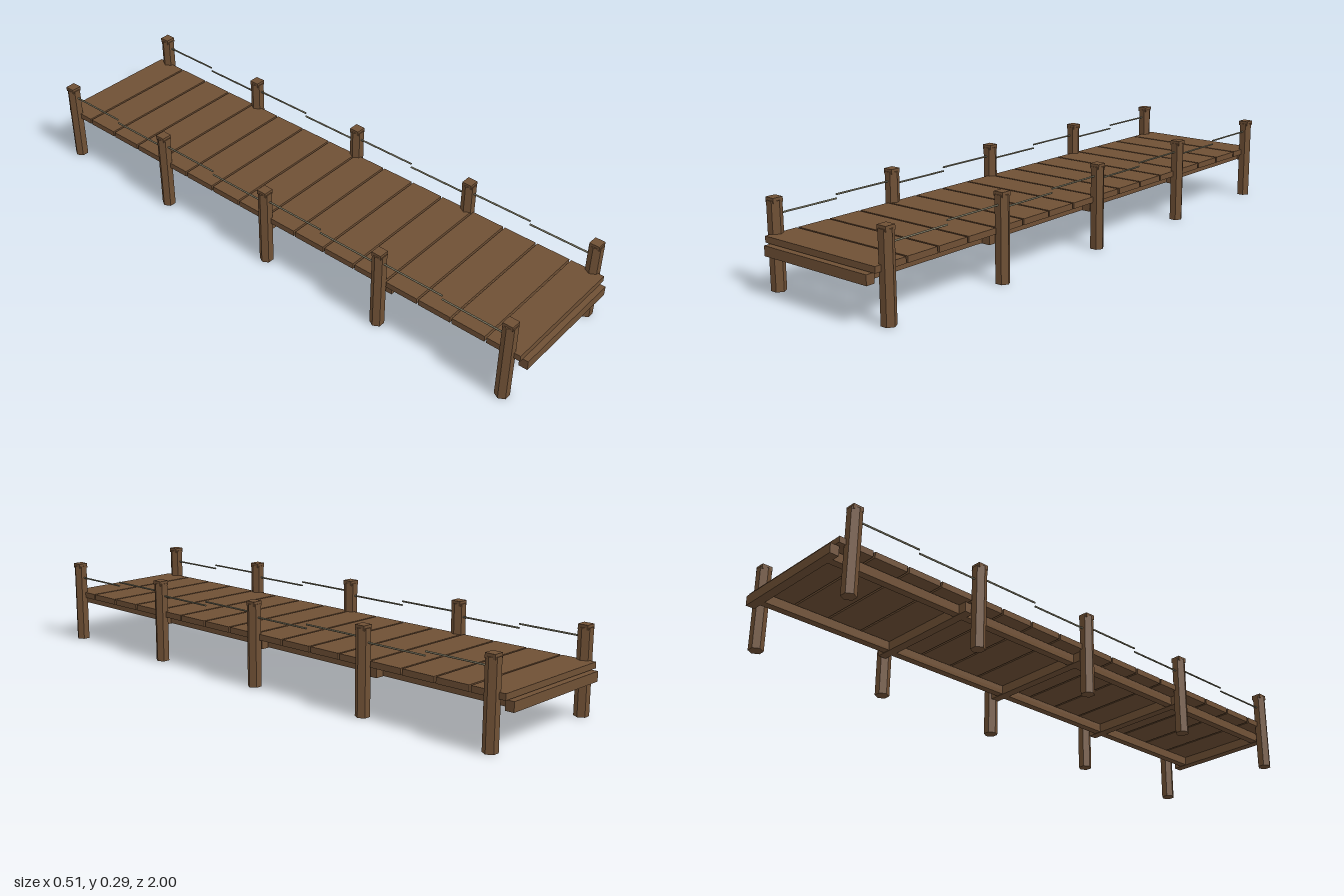
import * as THREE from 'three';

export function createModel() {
  const model = new THREE.Group();
  model.name = 'pier';
  const wood = new THREE.MeshStandardMaterial({ color: 0x6f5035 });
  wood.name = 'brown wood';
  wood.flatShading = true;
  const cord = new THREE.MeshStandardMaterial({ color: 0x7d7862 });
  cord.name = 'grey rope';

  const add = (name, geometry, material, x, y, z) => {
    const mesh = new THREE.Mesh(geometry, material);
    mesh.name = name;
    mesh.position.set(x, y, z);
    model.add(mesh);
  };

  // Deck planks laid across the walkway with narrow gaps
  const pitch = 0.1232;
  const plank = new THREE.BoxGeometry(0.46, 0.02, 0.1165);
  for (let i = 0; i < 16; i++) add('plank', plank, wood, 0, 0.167, (i - 7.5) * pitch);

  // Cross beams, with the outer two capping the ends
  const crossBeam = new THREE.BoxGeometry(0.428, 0.032, 0.03);
  for (let i = -2; i <= 2; i++) add('crossBeam', crossBeam, wood, 0, 0.139, i * 0.4925);

  // Posts are hexagonal with a small square cap
  const post = new THREE.CylinderGeometry(0.0235, 0.0235, 0.277, 6).rotateY(Math.PI / 2).translate(0, 0.1385, 0);
  const cap = new THREE.BoxGeometry(0.035, 0.016, 0.035);
  const stringer = new THREE.BoxGeometry(0.026, 0.03, 1.98);
  const span = 0.47;
  const rope = new THREE.CylinderGeometry(0.003, 0.003, span / 2, 8).rotateX(Math.PI / 2);

  for (const side of [-1, 1]) {
    // Long beams under the deck
    add('stringer', stringer, wood, side * 0.172, 0.1395, 0);
    for (let i = -2; i <= 2; i++) {
      const z = i * span;
      add('post', post, wood, side * 0.233, 0, z);
      add('postCap', cap, wood, side * 0.233, 0.278, z);
      // Each rope span is a high half and a low half
      if (i < 2) {
        add('ropeHigh', rope, cord, side * 0.233, 0.246, z + span * 0.25);
        add('ropeLow', rope, cord, side * 0.233, 0.233, z + span * 0.75);
      }
    }
  }
  return model;
}
